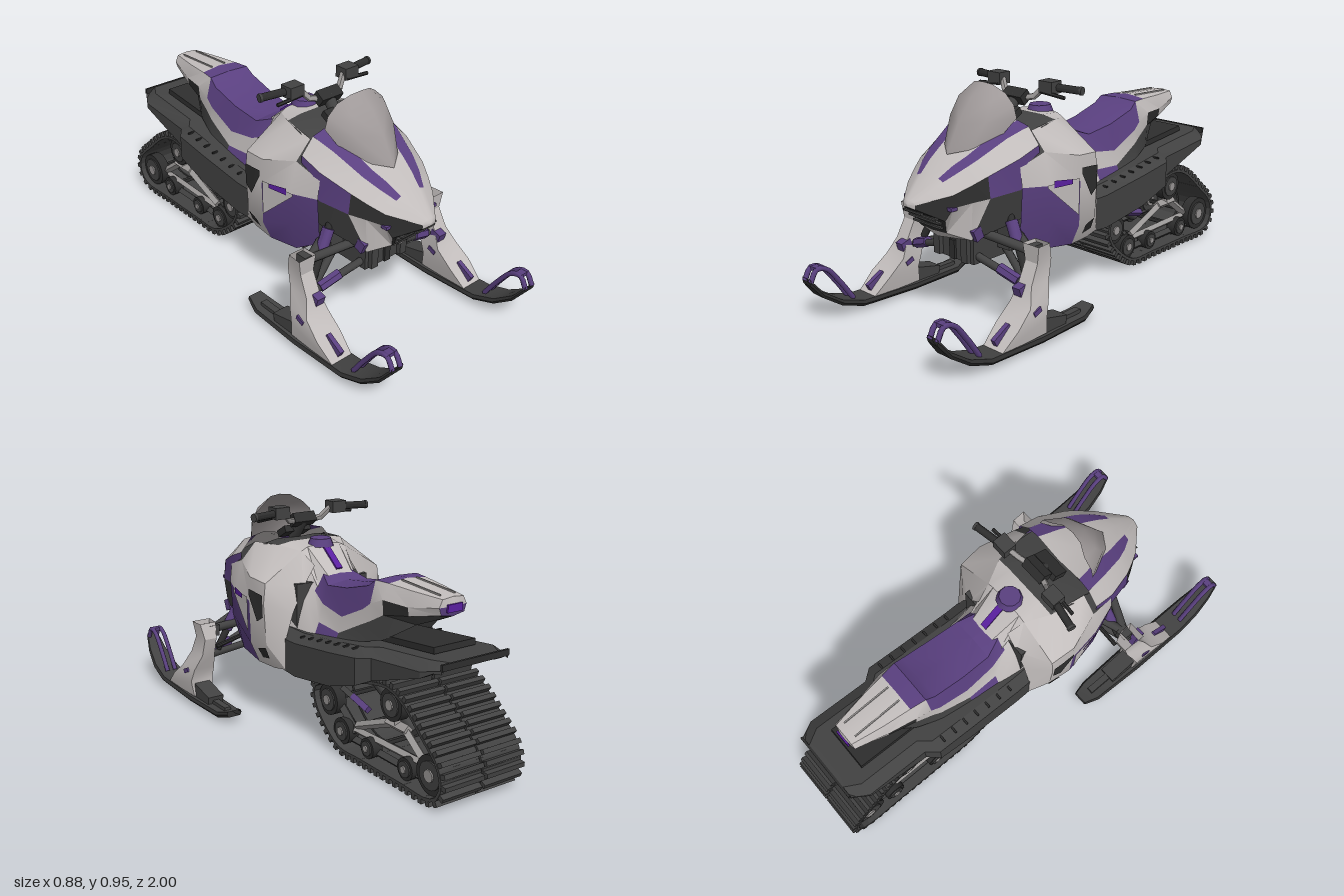
import * as THREE from 'three';
import { mergeGeometries, toCreasedNormals } from 'three/addons/utils/BufferGeometryUtils.js';

export function createModel() {
  const root = new THREE.Group();
  root.name = 'snowmobile';
  const paint = (name, color) => new THREE.MeshStandardMaterial({ name, color, side: THREE.DoubleSide });
  const M = {
    G: paint('panelGrey', 0xc2bdbc), P: paint('purple', 0x5a4080), V: paint('vividPurple', 0x5a1fa0),
    D: paint('charcoal', 0x424242), K: paint('black', 0x2e2e2e), W: paint('windshieldGrey', 0x9f9999),
    S: paint('metalGrey', 0x9a9796),
  };
  const V3 = (a) => new THREE.Vector3(...a);
  const add = (name, geo, mat) => {
    const m = new THREE.Mesh(geo, M[mat]);
    m.name = name;
    root.add(m);
    return m;
  };
  const both = (fn) => [1, -1].forEach(fn);

  // Skin over half cross-sections [z, [x, y, z?]...], mirrored in x; one letter per cell picks the colour
  function skin(name, sections, rows, crease = 0.5) {
    const pts = sections.map(([z, ...c]) => c.map((p) => [p[0], p[1], p[2] ?? z]));
    const cells = {};
    for (let i = 0; i < pts.length - 1; i++) {
      const row = Array.isArray(rows) ? rows[i] : rows;
      for (let j = 0; j < pts[i].length - 1; j++) {
        const out = (cells[row[j] ?? row[0]] ??= []);
        const a = pts[i][j], b = pts[i][j + 1], c = pts[i + 1][j + 1], d = pts[i + 1][j];
        both((s) => {
          const order = s > 0 ? [a, c, b, a, d, c] : [a, b, c, a, c, d];
          order.forEach((p) => out.push(s * p[0], p[1], p[2]));
        });
      }
    }
    for (const key in cells) {
      const g = new THREE.BufferGeometry();
      g.setAttribute('position', new THREE.Float32BufferAttribute(cells[key], 3));
      g.computeVertexNormals();
      add(name, toCreasedNormals(g, crease), key);
    }
  }
  const box = (name, mat, size, pos, rx = 0) => {
    const m = add(name, new THREE.BoxGeometry(...size), mat);
    m.position.set(...pos);
    m.rotation.x = rx;
    return m;
  };
  // Round or square rod between two points
  function rod(name, mat, a, b, r, sides = 8, r2 = r) {
    const d = V3(b).sub(V3(a));
    const m = add(name, toCreasedNormals(new THREE.CylinderGeometry(r2, r, d.length(), sides), 0.9), mat);
    m.position.copy(V3(a)).addScaledVector(d, 0.5);
    m.quaternion.setFromUnitVectors(new THREE.Vector3(0, 1, 0), d.normalize());
    return m;
  }
  const rods = (name, mat, a, b, ...rest) =>
    both((s) => rod(name, mat, [s * a[0], a[1], a[2]], [s * b[0], b[1], b[2]], ...rest));
  const boxes = (name, mat, size, p, rx) => both((s) => box(name, mat, size, [s * p[0], p[1], p[2]], rx));

  // Hood with stripes, headlights, grille and chin
  skin('hood', [
    [0.785, [0, 0.54], [0, 0.54], [0, 0.54], [0, 0.535], [0, 0.53], [0, 0.53], [0, 0.53]],
    [0.775, [0, 0.555], [0.015, 0.554], [0.025, 0.55], [0.035, 0.54], [0.035, 0.525], [0.025, 0.52], [0, 0.52]],
    [0.67, [0, 0.63], [0.05, 0.625], [0.075, 0.615], [0.13, 0.575], [0.13, 0.525], [0.11, 0.475, 0.695], [0, 0.475, 0.705]],
    [0.61, [0, 0.67], [0.066, 0.665], [0.11, 0.653], [0.165, 0.605], [0.17, 0.54], [0.075, 0.41, 0.66], [0, 0.41, 0.67]],
    [0.55, [0, 0.7], [0.082, 0.695], [0.135, 0.686], [0.195, 0.635], [0.205, 0.55], [0.155, 0.385, 0.605], [0, 0.375, 0.64]],
    [0.42, [0, 0.76], [0.105, 0.765], [0.168, 0.753], [0.235, 0.685], [0.235, 0.56], [0.2, 0.42], [0, 0.37]],
    [0.32, [0, 0.78], [0.125, 0.8], [0.185, 0.785], [0.24, 0.72], [0.25, 0.6], [0.22, 0.45], [0, 0.37]],
  ], ['GGGGKK', 'GGGKKK', 'GPGKGK', 'GPGKGG', 'GPGPDD', 'GPGPDD']);
  for (const [y, z, w] of [[0.505, 0.755, 0.1], [0.485, 0.722, 0.19], [0.462, 0.7, 0.18], [0.438, 0.686, 0.16]])
    box('grilleSlat', 'D', [w, 0.008, 0.014], [0, y, z]);
  boxes('headlightAccent', 'P', [0.03, 0.014, 0.03], [0.122, 0.522, 0.672]);

  // Windshield
  skin('windshield', [
    [0, [0, 0.69, 0.58], [0.07, 0.71, 0.53], [0.13, 0.75, 0.42]],
    [0, [0, 0.8, 0.52], [0.1, 0.81, 0.47], [0.16, 0.82, 0.36]],
    [0, [0, 0.89, 0.45], [0.09, 0.885, 0.43], [0.145, 0.87, 0.36]],
    [0, [0, 0.945, 0.385], [0.05, 0.94, 0.38], [0.1, 0.91, 0.36]],
  ], 'W', 1.2);

  // Side panels, inner bay and belly
  skin('sidePanel', [
    [0.42, [0.2, 0.7], [0.235, 0.65], [0.245, 0.57], [0.235, 0.42], [0.22, 0.36]],
    [0.3, [0.18, 0.765], [0.25, 0.69], [0.285, 0.56], [0.28, 0.42], [0.25, 0.29]],
    [0.15, [0.16, 0.775], [0.3, 0.655], [0.305, 0.55], [0.3, 0.36], [0.26, 0.27]],
    [0.04, [0.11, 0.76], [0.29, 0.645], [0.3, 0.56], [0.29, 0.38], [0.25, 0.27]],
    [-0.03, [0.09, 0.71], [0.15, 0.62], [0.2, 0.52], [0.24, 0.4], [0.24, 0.28]],
  ], ['DGPP', 'GGPP', 'GGGG', 'GGGG']);
  // Grey wedge, vents and accent laid on the side panels
  skin('sideWedge', [[0.32, [0.286, 0.565], [0.286, 0.555]], [0.16, [0.309, 0.565], [0.308, 0.41]]], 'G');
  skin('sideVent', [[0.145, [0.31, 0.605], [0.311, 0.58]], [0.085, [0.308, 0.6], [0.307, 0.475]],
    [0.045, [0.304, 0.595], [0.302, 0.5]]], 'K');
  skin('lowerVent', [[0.1, [0.294, 0.35], [0.272, 0.305]], [0.045, [0.291, 0.365], [0.272, 0.315]]], 'K');
  skin('sideAccent', [[0.29, [0.294, 0.58], [0.294, 0.55]], [0.2, [0.31, 0.57], [0.31, 0.55]]], 'V');
  box('engineBay', 'D', [0.36, 0.34, 0.46], [0, 0.47, 0.2]);
  box('belly', 'D', [0.44, 0.1, 0.34], [0, 0.33, 0.14]);
  box('bulkhead', 'D', [0.23, 0.11, 0.26], [0, 0.315, 0.43]);
  box('bulkheadPlate', 'K', [0.03, 0.08, 0.02], [0, 0.3, 0.56]);
  boxes('bumperBracket', 'D', [0.035, 0.11, 0.04], [0.08, 0.32, 0.56]);
  boxes('accentFin', 'P', [0.02, 0.05, 0.04], [0.165, 0.41, 0.585], 0.4);

  // Console, fuel cap and stripe
  skin('console', [
    [0.34, [0, 0.73], [0.1, 0.74], [0.18, 0.74]],
    [0.24, [0, 0.775], [0.1, 0.78], [0.18, 0.765]],
    [0.14, [0, 0.785], [0.09, 0.785], [0.16, 0.775]],
    [0.04, [0, 0.78], [0.08, 0.775], [0.11, 0.76]],
    [-0.09, [0, 0.68], [0.06, 0.67], [0.1, 0.6]],
  ], ['DD', 'DD', 'GG', 'GG']);
  rod('fuelCap', 'P', [0, 0.77, 0.06], [0, 0.803, 0.06], 0.058, 10, 0.045);
  box('consoleStripe', 'V', [0.03, 0.008, 0.14], [0, 0.738, -0.025], -0.655);

  // Seat, side trim and tail
  skin('seat', [
    [0.03, [0, 0.72], [0.07, 0.7], [0.11, 0.66], [0.15, 0.6], [0.19, 0.44]],
    [-0.06, [0, 0.69], [0.07, 0.68], [0.11, 0.61], [0.145, 0.55], [0.18, 0.44]],
    [-0.14, [0, 0.66], [0.1, 0.65], [0.125, 0.575], [0.145, 0.5], [0.17, 0.44]],
    [-0.28, [0, 0.68], [0.105, 0.67], [0.13, 0.555], [0.145, 0.49], [0.16, 0.46]],
    [-0.42, [0, 0.715], [0.105, 0.71], [0.13, 0.62], [0.135, 0.56], [0.14, 0.49]],
    [-0.46, [0, 0.745], [0.1, 0.74], [0.125, 0.65], [0.125, 0.58], [0.13, 0.5]],
    [-0.53, [0, 0.75], [0.09, 0.74], [0.12, 0.68], [0.115, 0.62], [0.11, 0.52]],
    [-0.65, [0, 0.745], [0.075, 0.735], [0.095, 0.675], [0.09, 0.64], [0.05, 0.6]],
    [-0.79, [0, 0.735], [0.05, 0.73], [0.065, 0.7], [0.055, 0.67], [0, 0.66]],
    [-0.8, [0, 0.7], [0, 0.7], [0, 0.7], [0, 0.7], [0, 0.7]],
  ], ['GGGG', 'PPGG', 'PPGP', 'PPGD', 'PPGD', 'PGGD', 'GGKD', 'GGGD', 'GGPP']);
  box('tailLight', 'V', [0.07, 0.03, 0.008], [0, 0.695, -0.8]);
  boxes('tailRidge', 'S', [0.006, 0.006, 0.22], [0.035, 0.743, -0.65], -0.05);

  // Tunnel with running-board ribs
  const tunnel = [[0.05, 0.45, 0.28, 0.24], [-0.1, 0.45, 0.27, 0.24], [-0.35, 0.48, 0.305, 0.24], [-0.52, 0.505, 0.36, 0.24],
    [-0.57, 0.51, 0.385, 0.2], [-0.85, 0.54, 0.48, 0.2], [-0.92, 0.54, 0.52, 0.16]];
  skin('tunnel', tunnel.map(([z, t, b, w]) => [z, [0, t], [w - 0.05, t], [w, t - 0.035], [w, b], [w - 0.035, b]]), 'D');
  box('tunnelEnd', 'K', [0.32, 0.025, 0.01], [0, 0.53, -0.92]);
  box('tailSupport', 'K', [0.2, 0.025, 0.34], [0, 0.535, -0.64], 0.1);
  for (let i = 0; i < 7; i++)
    boxes('boardRib', 'K', [0.045, 0.006, 0.008], [0.2, 0.443 + i * 0.0085, -0.12 - i * 0.06]);

  // Track belt and lugs swept round a closed path
  const loop = new THREE.CatmullRomCurve3([[-0.9, 0.032], [-0.75, 0.032], [-0.5, 0.032], [-0.36, 0.034], [-0.28, 0.075],
    [-0.19, 0.17], [-0.18, 0.24], [-0.25, 0.285], [-0.42, 0.335], [-0.58, 0.378], [-0.67, 0.385], [-0.75, 0.355],
    [-0.86, 0.265], [-0.95, 0.18], [-0.972, 0.11], [-0.95, 0.055],
  ].map(([z, y]) => new THREE.Vector3(0, y, z)), true);
  const n = 50, step = loop.getLength() / n, belt = [], lugs = [];
  for (let i = 0; i < n; i++) {
    const p = loop.getPointAt(i / n), t = loop.getTangentAt(i / n);
    const rot = new THREE.Matrix4().makeRotationX(Math.atan2(-t.y, t.z)).setPosition(p);
    both((s) => {
      belt.push(new THREE.BoxGeometry(0.192, 0.012, step * 1.15).translate(s * 0.1, 0, 0).applyMatrix4(rot));
      lugs.push(new THREE.BoxGeometry(0.188, 0.026, 0.019).translate(s * 0.1, -0.016, 0).applyMatrix4(rot));
    });
  }
  add('trackBelt', mergeGeometries(belt), 'D');
  add('trackLugs', mergeGeometries(lugs), 'D');

  // Track wheels: tyre, rim and hub
  for (const [z, y, r] of [[-0.245, 0.2, 0.065], [-0.34, 0.095, 0.055], [-0.51, 0.08, 0.042], [-0.745, 0.083, 0.045],
    [-0.89, 0.115, 0.078], [-0.655, 0.31, 0.065]]) {
    rods('tyre', 'K', [0.125, y, z], [0.17, y, z], r, 20);
    rods('rim', 'D', [0.12, y, z], [0.176, y, z], r * 0.72, 20);
    rods('hub', 'S', [0.115, y, z], [0.182, y, z], r * 0.32, 10);
    rod('axle', 'K', [-0.15, y, z], [0.15, y, z], 0.012);
  }
  // Slide rails, swing arms and rear shock
  const arms = [[0.065, -0.32, 0.065, -0.9, 'D', 0.018], [0.11, -0.36, 0.12, -0.8, 'S', 0.016], [0.13, -0.4, 0.22, -0.62, 'S', 0.018],
    [0.22, -0.6, 0.22, -0.72, 'S', 0.022], [0.22, -0.7, 0.1, -0.86, 'S', 0.018], [0.2, -0.27, 0.1, -0.4, 'D', 0.02],
    [0.22, -0.66, 0.32, -0.64, 'S', 0.018], [0.26, -0.3, 0.24, -0.38, 'D', 0.016], [0.245, -0.37, 0.22, -0.47, 'P', 0.018]];
  for (const [y1, z1, y2, z2, mat, r] of arms) rods('suspensionArm', mat, [0.135, y1, z1], [0.135, y2, z2], r, 4);
  rod('rearShock', 'D', [0, 0.27, -0.36], [0, 0.14, -0.6], 0.025, 10);

  // Skis with grab loops
  const cx = 0.375;
  skin('ski', [[1, 0.175, 0.03], [0.95, 0.11, 0.045], [0.87, 0.055, 0.058], [0.77, 0.022, 0.064], [0.5, 0.01, 0.064],
    [0.25, 0.01, 0.055], [0.18, 0.03, 0.035]].map(([z, y, w]) => [z, [cx - w * 0.8, y], [cx + w * 0.8, y], [cx + w, y + 0.014],
    [cx + w * 0.85, y + 0.026], [cx - w * 0.85, y + 0.026], [cx - w, y + 0.014], [cx - w * 0.8, y]]), 'KKKDKK');
  both((s) => both((k) => {
    const path = new THREE.CatmullRomCurve3([[0.185, 0.995], [0.232, 0.965], [0.222, 0.92], [0.15, 0.86], [0.06, 0.8]]
      .map(([y, z]) => new THREE.Vector3(s * (cx + k * 0.02), y, z)));
    add('skiLoop', new THREE.TubeGeometry(path, 16, 0.011, 6), 'P');
  }));
  boxes('skiLoopTop', 'P', [0.05, 0.016, 0.03], [cx, 0.232, 0.955]);
  boxes('skiMount', 'D', [0.075, 0.06, 0.2], [cx, 0.062, 0.45], -0.22);
  boxes('skiKeel', 'D', [0.03, 0.02, 0.18], [cx, 0.042, 0.33]);
  boxes('skiTrim', 'P', [0.02, 0.03, 0.09], [cx, 0.09, 0.67], 0.5);

  // Spindles
  skin('spindle', [[0.04, 0.72, 0.47, 0.05, cx], [0.11, 0.64, 0.48, 0.06, cx], [0.17, 0.565, 0.46, 0.055, 0.37],
    [0.24, 0.53, 0.43, 0.034, 0.362], [0.32, 0.49, 0.41, 0.032, 0.358], [0.39, 0.495, 0.43, 0.042, 0.36],
  ].map(([y, f, b, w, x]) => [0, [x - w, y, f], [x + w, y, f], [x + w * 0.9, y, b], [x - w * 0.9, y, b], [x - w, y, f]]), 'G');
  boxes('spindleClamp', 'P', [0.04, 0.06, 0.05], [0.345, 0.21, 0.53], 0.3);
  boxes('spindleGuard', 'P', [0.118, 0.02, 0.04], [0.372, 0.15, 0.53], 0.4);
  boxes('spindleJoint', 'D', [0.05, 0.05, 0.05], [0.33, 0.35, 0.45]);

  // Front arms and shocks
  for (const z of [0.54, 0.37]) {
    rods('upperArm', 'D', [0.32, 0.35, 0.46], [0.12, 0.4, z], 0.019);
    rods('lowerArm', 'D', [0.34, 0.215, 0.49], [0.08, 0.3, z], 0.016);
  }
  rods('armSleeve', 'P', [0.3, 0.23, 0.5], [0.21, 0.262, 0.515], 0.023, 6);
  rods('tieRod', 'K', [0.33, 0.28, 0.41], [0.1, 0.34, 0.4], 0.01);
  rods('shock', 'K', [0.3, 0.25, 0.46], [0.16, 0.52, 0.43], 0.016);
  rods('shockSpring', 'P', [0.255, 0.34, 0.45], [0.205, 0.435, 0.44], 0.025, 10);

  // Handlebar, controls, grips and levers
  rod('steeringPost', 'D', [0, 0.77, 0.27], [0, 0.86, 0.2], 0.025);
  rods('handlebar', 'S', [0.02, 0.85, 0.2], [0.08, 0.865, 0.18], 0.013);
  rods('handlebarRise', 'S', [0.077, 0.86, 0.182], [0.12, 0.908, 0.158], 0.013);
  box('barPad', 'K', [0.11, 0.045, 0.05], [0, 0.86, 0.2], 0.6);
  boxes('controlBlock', 'D', [0.07, 0.05, 0.06], [0.145, 0.91, 0.155]);
  rods('grip', 'K', [0.12, 0.91, 0.155], [0.285, 0.907, 0.125], 0.016, 10);
  rods('gripEnd', 'D', [0.28, 0.907, 0.126], [0.29, 0.907, 0.124], 0.018, 10);
  rods('lever', 'K', [0.12, 0.89, 0.18], [0.24, 0.88, 0.175], 0.008, 6);
  box('gauge', 'K', [0.13, 0.03, 0.07], [0, 0.8, 0.27], 0.5);
  return root;
}
